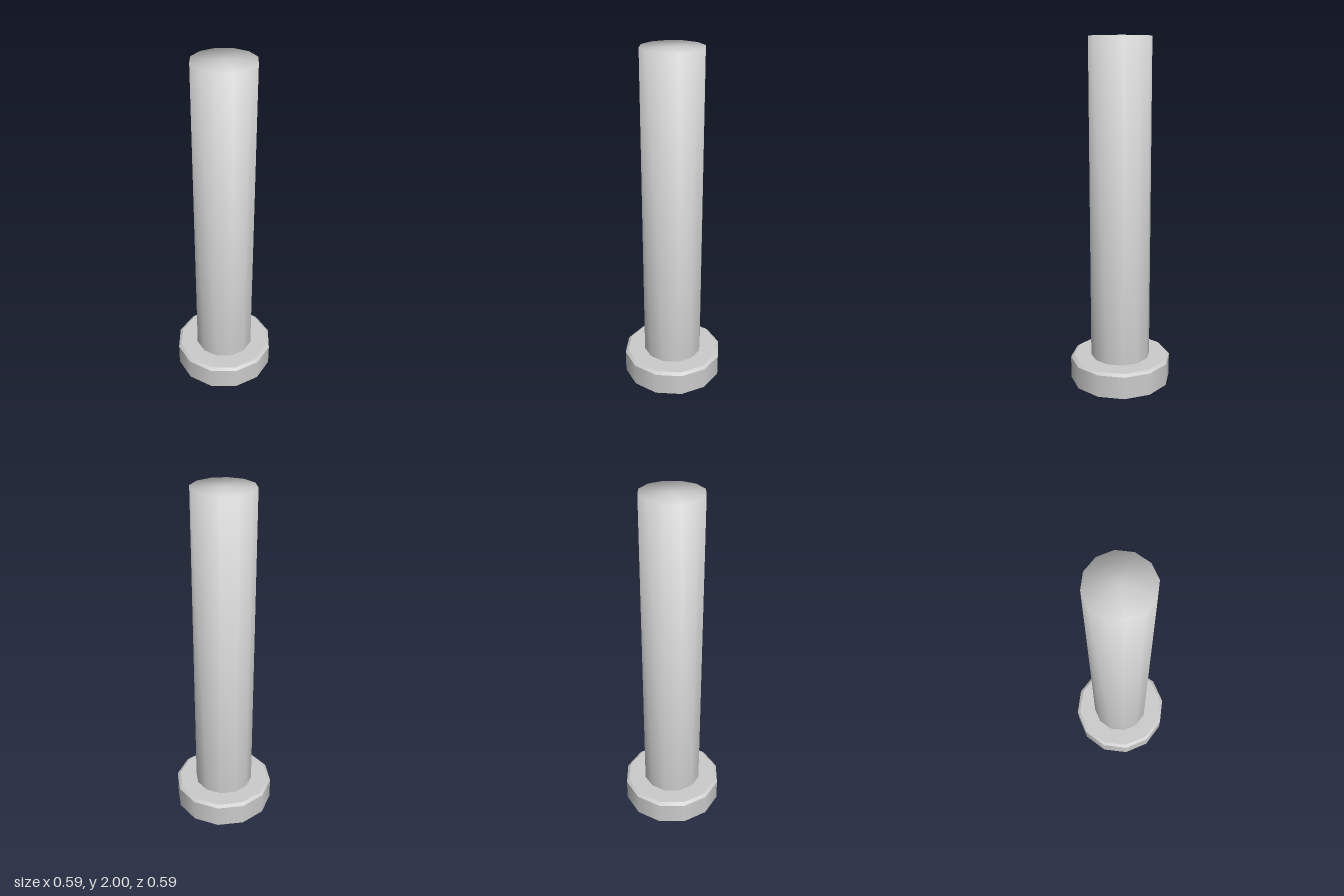
import * as THREE from 'three';
import { mergeGeometries } from 'three/addons/utils/BufferGeometryUtils.js';

const SIDES = 12;

// Revolve a profile of [radius, height] pairs around the y axis
const revolve = (profile) =>
  new THREE.LatheGeometry(profile.map(([r, y]) => new THREE.Vector2(r, y)), SIDES);

export function createModel() {
  const model = new THREE.Group();
  const material = new THREE.MeshStandardMaterial({ color: 0xcccccc, side: THREE.DoubleSide });
  const add = (name, geometry) => {
    const mesh = new THREE.Mesh(geometry, material);
    mesh.name = name;
    model.add(mesh);
  };

  const shaftRadius = 0.175, baseRadius = 0.297, bevelRadius = 0.279;
  const baseTop = 0.147, bevelStart = 0.133, height = 2;

  // Shaft: closed on top, open underneath, shaded softly over the top rim
  const shaft = revolve([[shaftRadius, baseTop], [shaftRadius, height], [0, height]]);
  const { position, normal } = shaft.attributes;
  for (let i = 0; i < position.count; i++) {
    const x = position.getX(i), z = position.getZ(i);
    const r = Math.hypot(x, z);
    if (position.getY(i) > height - 0.01 && r > 0.1) {
      normal.setXYZ(i, (x / r) * Math.SQRT1_2, Math.SQRT1_2, (z / r) * Math.SQRT1_2);
    }
  }
  add('shaft', shaft);

  // Base collar: hollow wall, bevel and flat ledge, kept apart for crisp edges
  const profile = [[baseRadius, 0], [baseRadius, bevelStart], [bevelRadius, baseTop], [shaftRadius, baseTop]];
  const bands = profile.slice(1).map((point, i) => revolve([profile[i], point]));
  add('baseCollar', mergeGeometries(bands));

  return model;
}
